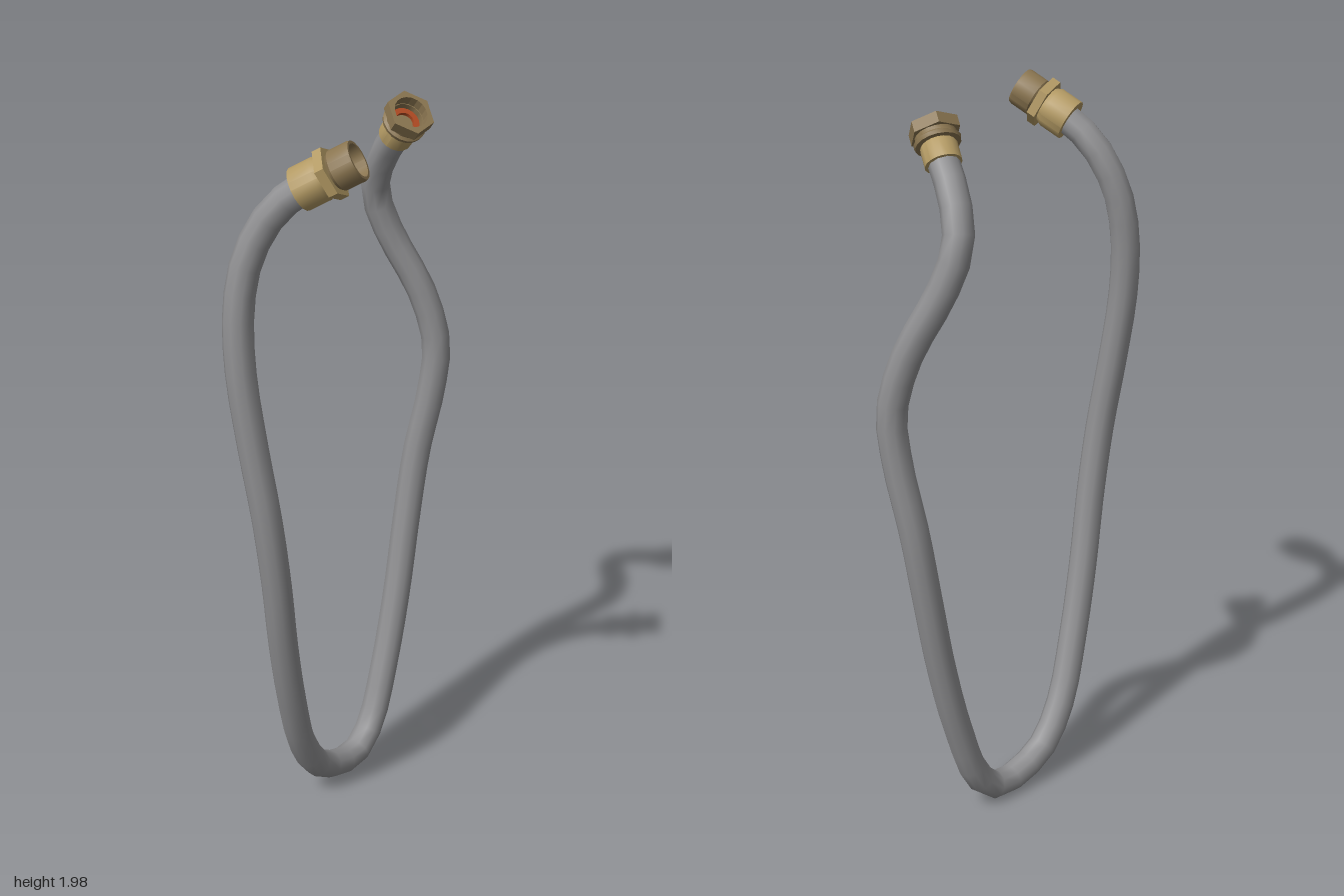
import * as THREE from 'three';
import { toCreasedNormals } from 'three/addons/utils/BufferGeometryUtils.js';

const mat = (name, color) => new THREE.MeshStandardMaterial({ name, color });

export function createModel() {
  const root = new THREE.Group();
  root.name = 'flexibleHose';
  const grey = mat('hose grey', 0x919193);
  const brass = mat('light brass', 0xb39a64);
  const darkBrass = mat('dark brass', 0x8a7550);
  const red = mat('washer red', 0xb04a22);

  const add = (parent, name, geometry, material) => {
    const mesh = new THREE.Mesh(geometry, material);
    mesh.name = name;
    parent.add(mesh);
    return mesh;
  };
  // Turned part; profile runs up the outside and down the inside
  const turned = (profile, sides = 18) => toCreasedNormals(
    new THREE.LatheGeometry(profile.map(([r, y]) => new THREE.Vector2(r, y)), sides), 0.6);
  // Hexagonal ring with a round bore, standing from y0 to y1
  const hexRing = (radius, bore, y0, y1) => {
    const shape = new THREE.Shape();
    for (let i = 0; i < 6; i++) {
      const a = i * Math.PI / 3;
      shape[i ? 'lineTo' : 'moveTo'](radius * Math.cos(a), radius * Math.sin(a));
    }
    shape.closePath();
    const hole = new THREE.Path();
    hole.absarc(0, 0, bore, 0, Math.PI * 2, true);
    shape.holes.push(hole);
    const g = new THREE.ExtrudeGeometry(shape, { depth: y1 - y0, bevelEnabled: false, curveSegments: 9 });
    g.rotateX(-Math.PI / 2);
    g.translate(0, y0, 0);
    return g;
  };
  // Group whose local y axis runs from base to tip
  const fitting = (name, base, tip) => {
    const g = new THREE.Group();
    g.name = name;
    g.position.copy(base);
    g.quaternion.setFromUnitVectors(new THREE.Vector3(0, 1, 0), tip.clone().sub(base).normalize());
    root.add(g);
    return g;
  };

  const maleBase = new THREE.Vector3(-0.311, 1.868, 0.041);
  const maleTip = new THREE.Vector3(-0.256, 1.948, 0.175);
  const nutBase = new THREE.Vector3(0.252, 1.865, -0.073);
  const nutTip = new THREE.Vector3(0.222, 1.944, -0.003);

  // Hose, from the threaded end round the bottom bend to the nut end
  const path = [
    [-0.33, 1.83, 0.0], [-0.353, 1.765, -0.045], [-0.378, 1.67, -0.078], [-0.396, 1.55, -0.088],
    [-0.402, 1.4, -0.08], [-0.392, 1.2, -0.055], [-0.374, 1.0, -0.03], [-0.346, 0.8, -0.025],
    [-0.308, 0.6, -0.037], [-0.253, 0.4, -0.055], [-0.178, 0.21, -0.078], [-0.1, 0.1, -0.083],
    [0.0, 0.052, -0.082], [0.085, 0.049, -0.081], [0.155, 0.11, -0.08], [0.228, 0.29, -0.08],
    [0.287, 0.5, -0.08], [0.333, 0.72, -0.08], [0.366, 0.92, -0.07], [0.392, 1.12, -0.038],
    [0.399, 1.25, -0.03], [0.378, 1.4, -0.066], [0.325, 1.58, -0.145], [0.295, 1.69, -0.167],
    [0.27, 1.79, -0.13],
  ].map((p) => new THREE.Vector3(...p));
  path.unshift(maleBase.clone().lerp(maleTip, 0.15));
  path.push(nutBase.clone().lerp(nutTip, 0.2));
  const curve = new THREE.CatmullRomCurve3(path);
  add(root, 'hose', new THREE.TubeGeometry(curve, 60, 0.04, 10), grey);

  // Threaded fitting
  const male = fitting('threadedFitting', maleBase, maleTip);
  add(male, 'threadedSleeve', turned([[0, 0], [0.056, 0], [0.056, 0.062], [0.048, 0.078], [0, 0.078]]), brass);
  add(male, 'threadedHex', hexRing(0.068, 0.042, 0.076, 0.1), brass);
  add(male, 'threadedSpigot', turned([
    [0.046, 0.1], [0.052, 0.108], [0.052, 0.16], [0.05, 0.166], [0.043, 0.166], [0.043, 0.09], [0, 0.09],
  ]), darkBrass);

  // Union nut fitting
  const female = fitting('nutFitting', nutBase, nutTip);
  add(female, 'nutSleeve', turned([[0, 0], [0.047, 0], [0.047, 0.048], [0.043, 0.056], [0, 0.056]]), brass);
  add(female, 'nutCollar', turned([
    [0.04, 0.054], [0.058, 0.054], [0.06, 0.064], [0.053, 0.07], [0.053, 0.082], [0.044, 0.082], [0.044, 0.06], [0, 0.06],
  ]), darkBrass);
  add(female, 'nutHex', hexRing(0.066, 0.046, 0.08, 0.11), darkBrass);
  add(female, 'washer', turned([
    [0.04, 0.06], [0.04, 0.07], [0.025, 0.07], [0.025, 0.06],
  ]), red);

  return root;
}
